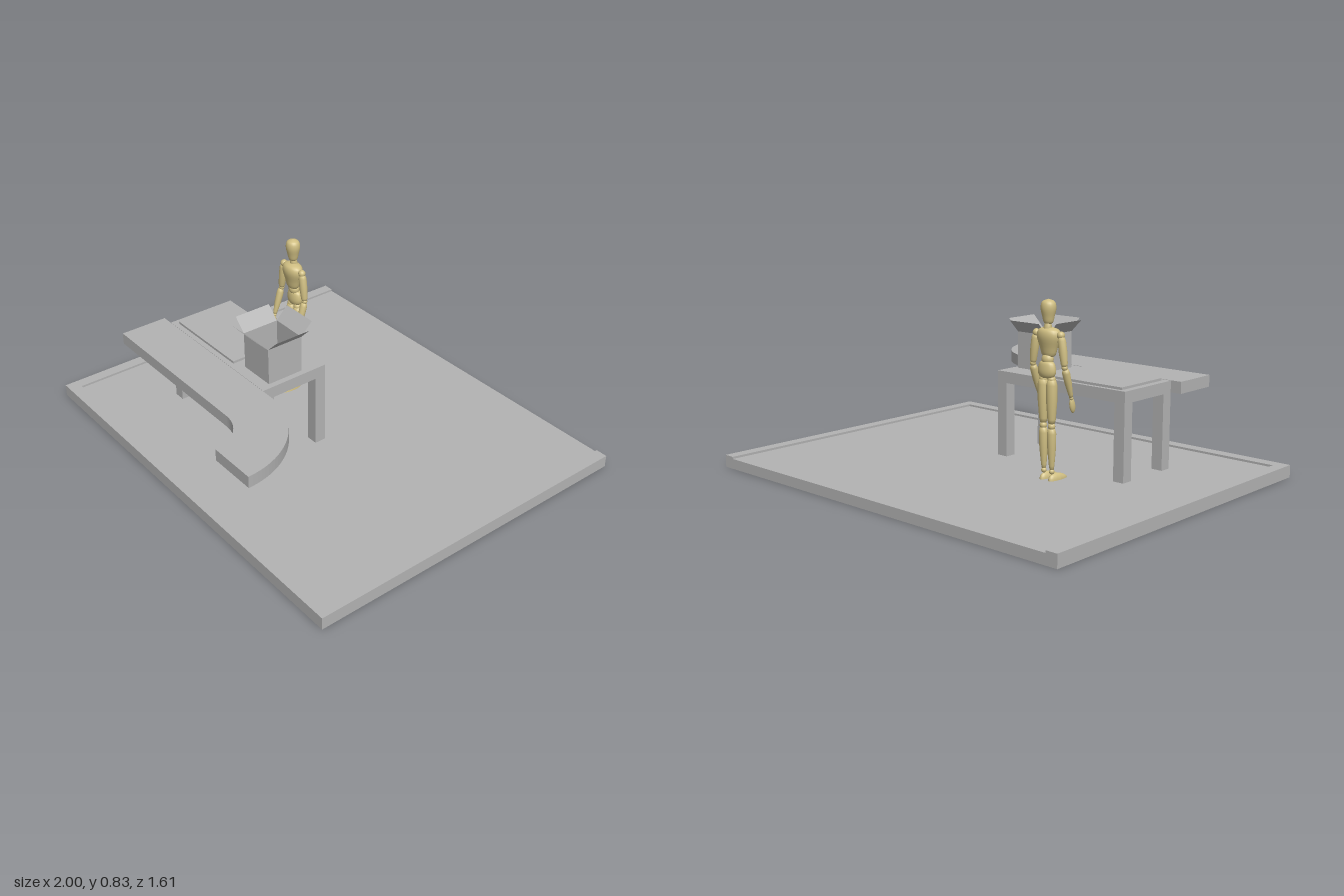
import * as THREE from 'three';

const V = (x, y, z) => new THREE.Vector3(x, y, z);

export function createModel() {
  const grey = new THREE.MeshStandardMaterial({ color: 0xb2b2b2 });
  grey.name = 'grey';
  const greySheet = new THREE.MeshStandardMaterial({ color: 0xb2b2b2, side: THREE.DoubleSide });
  greySheet.name = 'greySheet';
  const wood = new THREE.MeshStandardMaterial({ color: 0xcfbe82 });
  wood.name = 'paleWood';

  const group = (name, parent) => {
    const g = new THREE.Group();
    g.name = name;
    if (parent) parent.add(g);
    return g;
  };
  const add = (parent, name, geo, mat) => {
    const m = new THREE.Mesh(geo, mat);
    m.name = name;
    parent.add(m);
    return m;
  };
  // box given by its minimum and maximum on each axis
  const block = (parent, name, x0, x1, y0, y1, z0, z1) => {
    const m = add(parent, name, new THREE.BoxGeometry(x1 - x0, y1 - y0, z1 - z0), grey);
    m.position.set((x0 + x1) / 2, (y0 + y1) / 2, (z0 + z1) / 2);
    return m;
  };

  const model = group('packingStation');
  const FLOOR = 0.047;

  // floor with a low rim on three sides, open at the back
  const floor = group('floor', model);
  block(floor, 'floorSlab', -0.945, 0.945, 0, FLOOR, -0.805, 0.745);
  block(floor, 'rimRight', -1, -0.945, 0, 0.057, -0.805, 0.803);
  block(floor, 'rimLeft', 0.945, 1, 0, 0.057, -0.805, 0.803);
  block(floor, 'rimFront', -0.945, 0.945, 0, 0.057, 0.745, 0.803);

  // table
  const table = group('table', model);
  block(table, 'tableTop', -0.615, 0.11, 0.392, 0.445, 0.082, 0.415);
  for (const x of [-0.615, 0.056])
    for (const z of [0.082, 0.361]) block(table, 'tableLeg', x, x + 0.054, FLOOR, 0.392, z, z + 0.054);
  block(table, 'workMat', -0.583, -0.145, 0.445, 0.456, 0.102, 0.39);

  // conveyor: straight run ending in a quarter turn
  const s = new THREE.Shape();
  s.moveTo(-0.667, -0.64);
  s.lineTo(-0.667, -0.417);
  s.lineTo(0.163, -0.417);
  s.absarc(0.163, -0.803, 0.386, Math.PI / 2, 0, true);
  s.lineTo(0.326, -0.803);
  s.absarc(0.163, -0.803, 0.163, 0, Math.PI / 2, false);
  s.closePath();
  const belt = new THREE.ExtrudeGeometry(s, { depth: 0.054, bevelEnabled: false, curveSegments: 14 });
  belt.rotateX(-Math.PI / 2);
  add(model, 'conveyor', belt, grey).position.y = 0.392;

  // open carton with four raised flaps
  const carton = group('carton', model);
  carton.position.set(-0.003, 0.446, 0.278);
  const W = 0.175, H = 0.17;
  add(carton, 'cartonBottom', new THREE.PlaneGeometry(W, W).rotateX(-Math.PI / 2), greySheet).position.y = 0.002;
  for (let i = 0; i < 4; i++) {
    const side = group('cartonSide', carton);
    side.rotation.y = (i * Math.PI) / 2;
    add(side, 'cartonWall', new THREE.PlaneGeometry(W, H), greySheet).position.set(0, H / 2, W / 2);
    const flap = new THREE.PlaneGeometry(W, 0.08).translate(0, 0.04, 0).rotateX(Math.PI / 4);
    add(side, 'cartonFlap', flap, greySheet).position.set(0, H, W / 2);
  }

  // jointed wooden figure
  const figure = group('figure', model);
  figure.position.set(-0.336, 0, 0);

  // smooth turned body from [radius, y] points, flattened in depth
  const turned = (name, pts, depth, z) => {
    const curve = new THREE.SplineCurve(pts.map((p) => new THREE.Vector2(p[0], p[1])));
    const profile = curve.getPoints(20).map((p) => new THREE.Vector2(Math.max(p.x, 0), p.y));
    const m = add(figure, name, new THREE.LatheGeometry(profile, 20), wood);
    m.scale.z = depth;
    m.position.z = z;
    return m;
  };
  const ball = (name, p, rx, ry = rx, rz = rx) => {
    const m = add(figure, name, new THREE.SphereGeometry(1, 16, 12), wood);
    m.scale.set(rx, ry, rz);
    m.position.copy(p);
    return m;
  };
  // rounded limb from a to b, radius ra at a, rb at b, slightly bulging
  const limb = (name, a, b, ra, rb) => {
    const len = a.distanceTo(b);
    const pts = [[0, 0], [ra * 0.75, len * 0.03], [ra, len * 0.14], [ra * 0.65 + rb * 0.45, len * 0.5],
      [rb, len * 0.88], [rb * 0.75, len * 0.97], [0, len]].map((p) => new THREE.Vector2(p[0], p[1]));
    const m = add(figure, name, new THREE.LatheGeometry(pts, 14), wood);
    m.position.copy(a);
    m.quaternion.setFromUnitVectors(V(0, 1, 0), b.clone().sub(a).normalize());
  };

  turned('head', [[0, 0.72], [0.019, 0.727], [0.027, 0.755], [0.034, 0.79], [0.027, 0.817], [0, 0.828]], 0.95, -0.087);
  limb('neck', V(0, 0.685, -0.092), V(0, 0.735, -0.088), 0.017, 0.014);
  turned('chest', [[0, 0.582], [0.03, 0.587], [0.044, 0.625], [0.058, 0.668], [0.05, 0.697], [0.02, 0.708], [0, 0.709]], 0.68, -0.083);
  ball('waist', V(0, 0.572, -0.09), 0.028, 0.027, 0.024);
  turned('pelvis', [[0, 0.492], [0.032, 0.497], [0.045, 0.52], [0.04, 0.552], [0.026, 0.565], [0, 0.567]], 0.62, -0.094);

  for (const k of [-1, 1]) {
    // arm
    const shoulder = V(k * 0.067, 0.68, -0.085), elbow = V(k * 0.088, 0.545, -0.083);
    const wrist = V(k * 0.09, 0.41, -0.04);
    ball('shoulder', shoulder, 0.017);
    limb('upperArm', V(k * 0.07, 0.675, -0.085), elbow, 0.018, 0.015);
    ball('elbow', elbow, 0.013);
    limb('forearm', V(k * 0.089, 0.54, -0.081), wrist, 0.017, 0.01);
    ball('wrist', wrist, 0.009);
    const hand = ball('hand', V(k * 0.086, 0.376, -0.028), 0.01, 0.034, 0.016);
    hand.rotation.x = -0.2;
    // leg
    ball('hip', V(k * 0.023, 0.488, -0.09), 0.018);
    limb('thigh', V(k * 0.024, 0.492, -0.09), V(k * 0.023, 0.292, -0.088), 0.024, 0.018);
    ball('knee', V(k * 0.023, 0.285, -0.088), 0.016);
    limb('shin', V(k * 0.023, 0.28, -0.088), V(k * 0.022, 0.09, -0.084), 0.02, 0.012);
    ball('ankle', V(k * 0.022, 0.086, -0.084), 0.012);
    // foot: flat-soled dome, higher at the heel
    const foot = new THREE.SphereGeometry(1, 16, 8, 0, Math.PI * 2, 0, Math.PI / 2);
    const p = foot.attributes.position;
    for (let i = 0; i < p.count; i++) p.setY(i, p.getY(i) * (0.8 - 0.3 * p.getZ(i)));
    foot.scale(0.02, 0.035, 0.058).translate(k * 0.024, FLOOR, -0.047);
    foot.computeVertexNormals();
    add(figure, 'foot', foot, wood);
  }
  return model;
}
